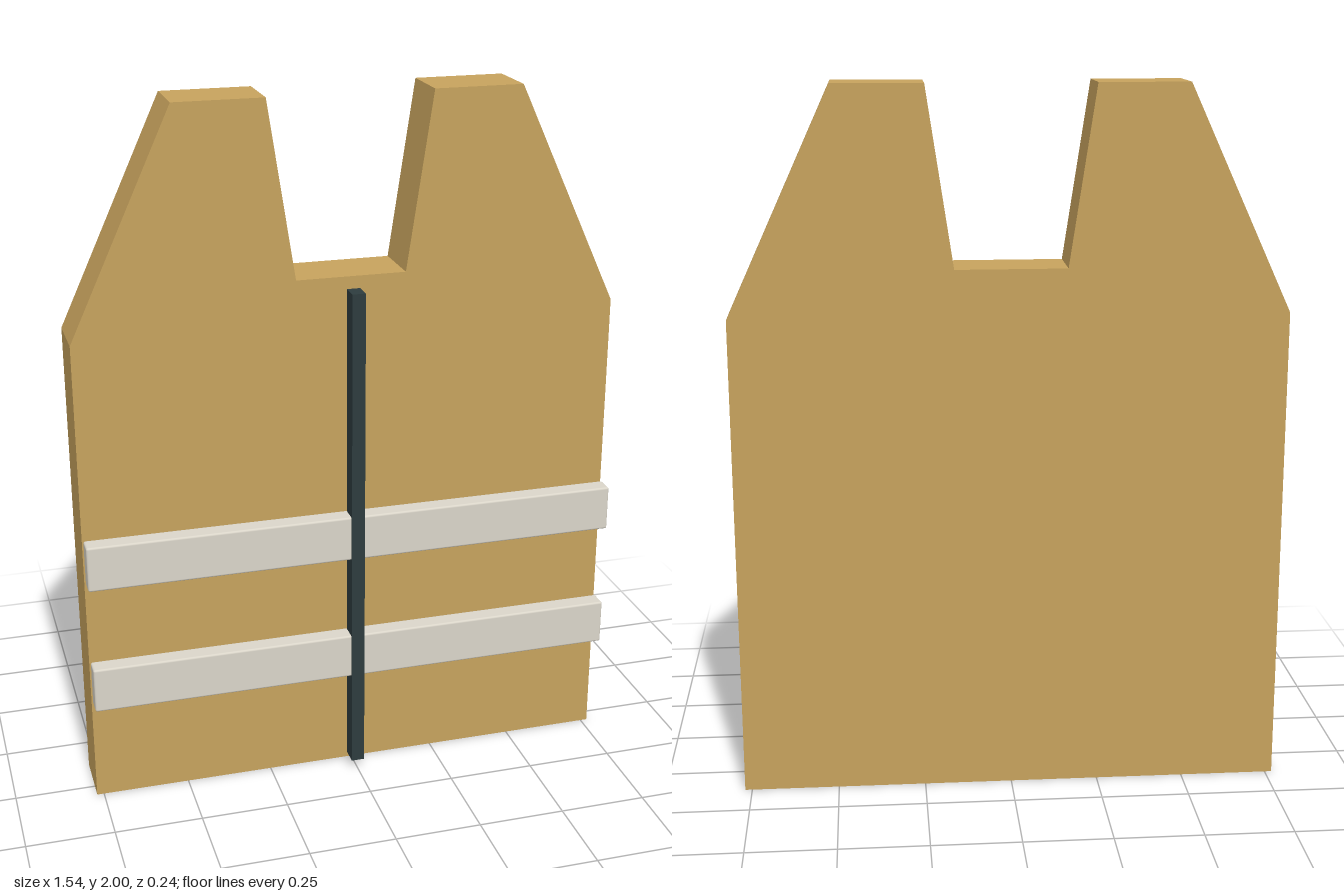
import * as THREE from 'three';
import { RoundedBoxGeometry } from 'three/addons/geometries/RoundedBoxGeometry.js';

export function createModel() {
  const model = new THREE.Group();
  model.name = 'vest';

  const material = (name, color) => {
    const m = new THREE.MeshStandardMaterial({ color });
    m.name = name;
    return m;
  };
  const fabric = material('tanFabric', 0xc6a25d);
  const reflective = material('paleGreyBand', 0xdad5c9);
  const dark = material('darkZip', 0x2d3c3e);

  const add = (name, geometry, mat, x = 0, y = 0, z = 0) => {
    const mesh = new THREE.Mesh(geometry, mat);
    mesh.name = name;
    mesh.position.set(x, y, z);
    model.add(mesh);
  };

  // Body: half outline from neckline to hem, mirrored for the other side
  const half = [[0.155, 1.505], [0.23, 2], [0.48, 2], [0.77, 1.375], [0.77, 0]];
  const mirrored = half.map(([x, y]) => [-x, y]).reverse();
  const outline = new THREE.Shape([...half, ...mirrored].map(([x, y]) => new THREE.Vector2(x, y)));
  const bodyGeometry = new THREE.ExtrudeGeometry(outline, { depth: 0.168, bevelEnabled: false });
  add('body', bodyGeometry, fabric, 0, 0, -0.122);

  // Two horizontal bands standing just off the front
  const bandGeometry = new RoundedBoxGeometry(1.536, 0.132, 0.055, 2, 0.006);
  add('lowerBand', bandGeometry, reflective, 0, 0.379, 0.088);
  add('upperBand', bandGeometry, reflective, 0, 0.754, 0.088);

  // Centre zip
  add('zip', new THREE.BoxGeometry(0.038, 1.446, 0.054), dark, 0, 0.753, 0.094);

  return model;
}
